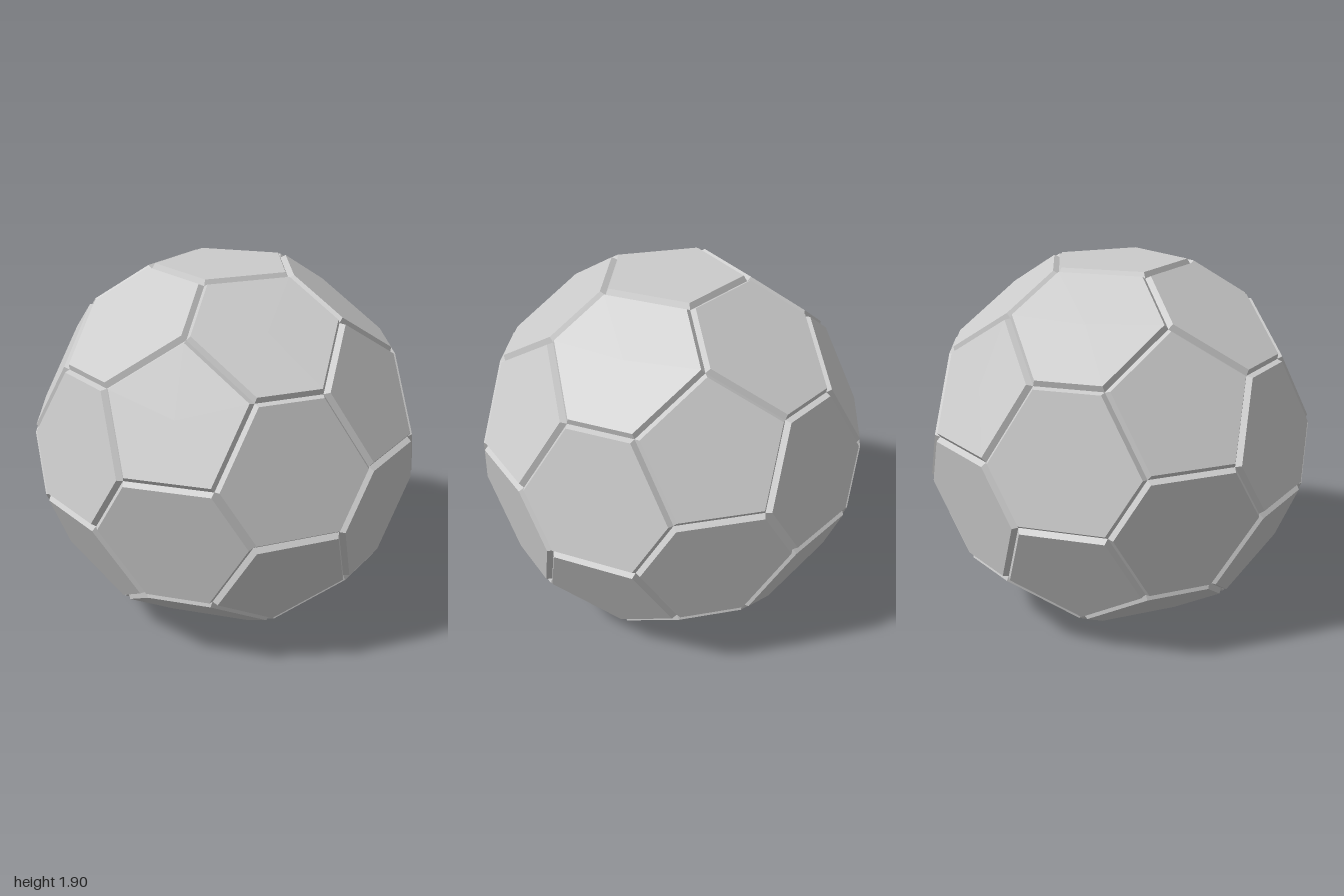
import * as THREE from 'three';

const EDGE = 1.247;    // edge of the icosahedron that gets truncated
const CUT = 0.36;      // share of each edge cut off at a corner
const INSET = 0.023;   // half width of the seam between panels
const VALLEY = 0.97;   // radial scale of the seam bottom

// One flat panel with a sloping bevel all round, from its unsorted corners
function panelGeometry(corners) {
  const centre = new THREE.Vector3();
  corners.forEach(p => centre.addScaledVector(p, 1 / corners.length));
  const normal = centre.clone().normalize();
  const u = corners[0].clone().sub(centre).normalize();
  const v = normal.clone().cross(u);
  const angle = p => {
    const d = p.clone().sub(centre);
    return Math.atan2(d.dot(v), d.dot(u));
  };
  const ring = [...corners].sort((a, b) => angle(a) - angle(b));
  const n = ring.length;

  // Move every corner inward so that all edges shift by INSET
  const top = ring.map((p, i) => {
    const a = ring[(i + n - 1) % n].clone().sub(p).normalize();
    const b = ring[(i + 1) % n].clone().sub(p).normalize();
    return p.clone().addScaledVector(a.clone().add(b), INSET / Math.sin(a.angleTo(b)));
  });
  const base = ring.map(p => p.clone().multiplyScalar(VALLEY));

  const points = [];
  for (let i = 0; i < n; i++) {
    const j = (i + 1) % n;
    points.push(centre, top[i], top[j]);                             // face
    points.push(base[i], base[j], top[j], base[i], top[j], top[i]);  // bevel
  }
  const geometry = new THREE.BufferGeometry().setFromPoints(points);
  geometry.computeVertexNormals();
  return geometry;
}

export function createModel() {
  const ball = new THREE.Group();
  ball.name = 'panelledBall';
  const material = new THREE.MeshStandardMaterial({ color: 0xcccccc, flatShading: true });

  // Icosahedron corners: two poles and two staggered rings of five
  const radius = EDGE * Math.sin(Math.PI * 2 / 5);
  const tilt = Math.atan(0.5);
  const verts = [new THREE.Vector3(0, radius, 0), new THREE.Vector3(0, -radius, 0)];
  for (let i = 0; i < 10; i++) {
    const a = i * Math.PI / 5;
    const y = Math.sin(tilt) * (i % 2 ? -1 : 1);
    verts.push(new THREE.Vector3(Math.cos(tilt) * Math.cos(a), y, Math.cos(tilt) * Math.sin(a))
      .setY(y).multiplyScalar(radius));
  }
  const joined = (a, b) => a !== b && a.distanceTo(b) < EDGE * 1.1;
  const cut = (a, b) => a.clone().lerp(b, CUT);

  const add = (name, corners) => {
    const mesh = new THREE.Mesh(panelGeometry(corners), material);
    mesh.name = name;
    ball.add(mesh);
  };

  // Pentagon panels sit on the corners
  verts.forEach((p, i) =>
    add(`pentagonPanel${i + 1}`, verts.filter(q => joined(p, q)).map(q => cut(p, q))));

  // Hexagon panels sit on the triangles
  let count = 0;
  for (let i = 0; i < 12; i++)
    for (let j = i + 1; j < 12; j++)
      for (let k = j + 1; k < 12; k++) {
        const [a, b, c] = [verts[i], verts[j], verts[k]];
        if (!joined(a, b) || !joined(b, c) || !joined(a, c)) continue;
        add(`hexagonPanel${++count}`,
          [cut(a, b), cut(b, a), cut(b, c), cut(c, b), cut(c, a), cut(a, c)]);
      }

  // Stand the ball on its lowest pentagon
  ball.position.y = radius - CUT * EDGE * EDGE / (2 * radius);
  const model = new THREE.Group();
  model.name = 'model';
  model.add(ball);
  return model;
}
